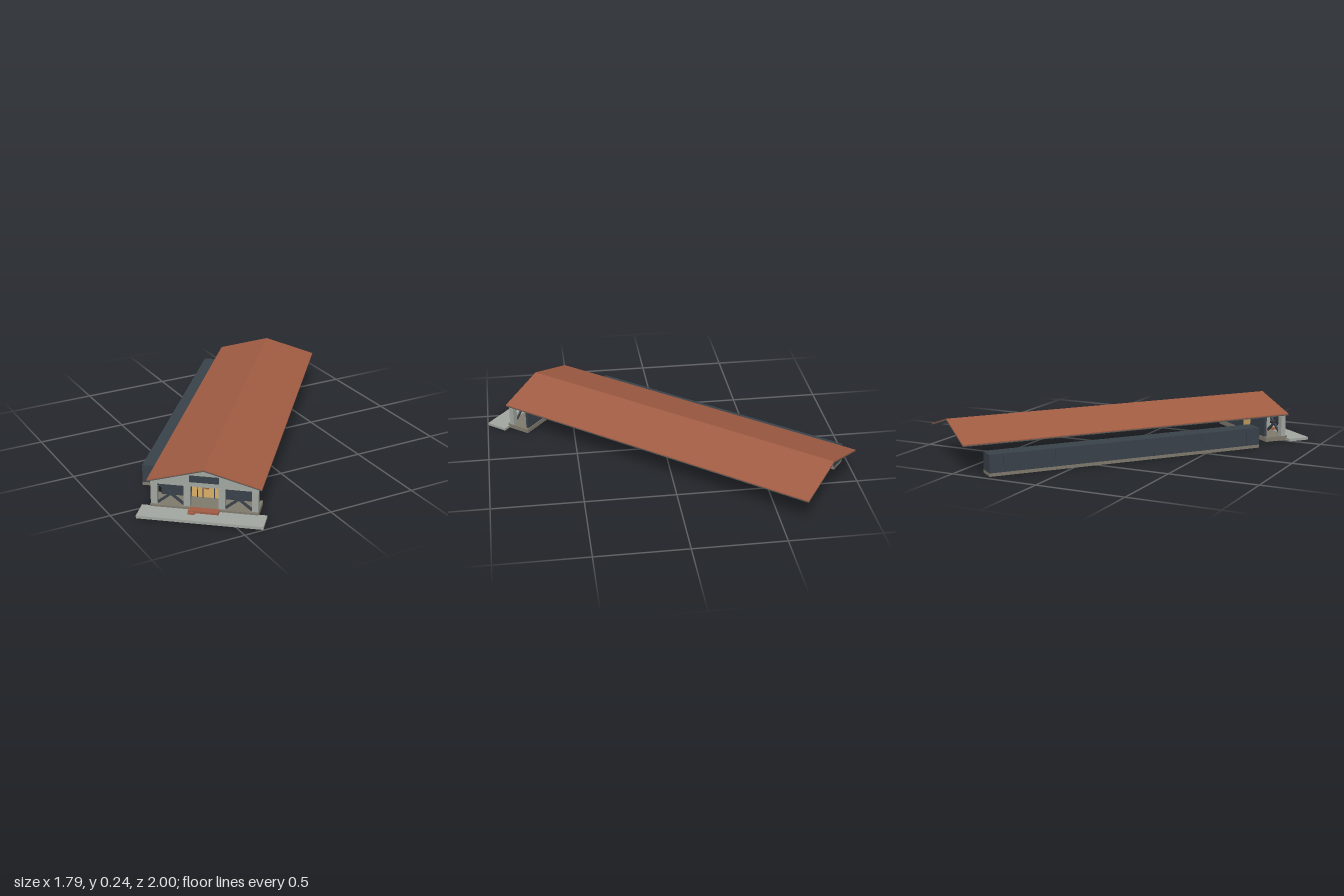
import * as THREE from 'three';

const paint = (name, color) => {
  const m = new THREE.MeshStandardMaterial({ color });
  m.name = name;
  return m;
};

export function createModel() {
  const tile = paint('terracotta', 0xa15c43);
  const lining = paint('roof lining', 0x565a58);
  const concrete = paint('light concrete', 0xa2a7a1);
  const stone = paint('brown stone', 0x7f7a6d);
  const slate = paint('dark slate', 0x39414a);
  const green = paint('bench green', 0x2a5c30);
  const wood = paint('pale wood', 0xdcb068);

  const model = new THREE.Group();
  model.name = 'pavilion';
  // the whole site is turned on its plot
  const site = new THREE.Group();
  site.name = 'site';
  site.rotation.y = -0.684;
  model.add(site);

  // box given by its limits on each axis
  const box = (name, mat, x0, x1, y0, y1, z0, z1, parent = site) => {
    const mesh = new THREE.Mesh(new THREE.BoxGeometry(x1 - x0, y1 - y0, z1 - z0), mat);
    mesh.position.set((x0 + x1) / 2, (y0 + y1) / 2, (z0 + z1) / 2);
    mesh.name = name;
    parent.add(mesh);
    return mesh;
  };
  // outline in x and y, extruded from z0 to z1
  const prism = (name, mat, pts, z0, z1) => {
    const shape = new THREE.Shape(pts.map(([x, y]) => new THREE.Vector2(x, y)));
    const geo = new THREE.ExtrudeGeometry(shape, { depth: z1 - z0, bevelEnabled: false });
    geo.translate(0, 0, z0);
    const mesh = new THREE.Mesh(geo, mat);
    mesh.name = name;
    site.add(mesh);
  };

  // long gabled roof: tiles over a dark lining
  const W = 0.297, rise = 0.082;
  const chevron = (y, t) => [[-W, y], [0, y + rise], [W, y],
    [W, y + t], [0, y + rise + t], [-W, y + t]];
  prism('roofTiles', tile, chevron(0.154, 0.005), -1.047, 0.901);
  prism('roofLining', lining, chevron(0.149, 0.005), -1.047, 0.901);

  // forecourt, floor and entrance steps
  box('forecourt', concrete, -0.325, 0.325, 0, 0.015, 0.898, 1.022);
  box('floor', stone, -0.28, 0.28, 0, 0.025, 0.765, 0.907);
  box('entranceStep', tile, -0.075, 0.082, 0.015, 0.027, 0.9, 0.943);
  box('stepEnd', tile, -0.073, -0.037, 0.015, 0.023, 0.943, 0.962);

  // front gable with its dark panel
  prism('gable', concrete, [[-0.28, 0.138], [0.28, 0.138], [0.28, 0.153], [0, 0.23], [-0.28, 0.153]], 0.872, 0.892);
  box('gablePanel', slate, -0.077, 0.077, 0.165, 0.2, 0.892, 0.898);

  // columns and crossed braces on both sides of the entrance
  for (const s of [-1, 1]) {
    for (const x of [0.262, 0.09])
      box('column', concrete, s * x - 0.017, s * x + 0.017, 0.025, 0.14, 0.866, 0.894);
    const w = 0.136, h = 0.108;
    for (const d of [-1, 1]) {
      const brace = box('brace', slate, -Math.hypot(w, h) / 2, Math.hypot(w, h) / 2, -0.006, 0.006, -0.005, 0.005);
      brace.position.set(s * 0.176, 0.083, 0.88);
      brace.rotation.z = d * Math.atan2(h, w);
    }
  }

  // rear wall panels with a doorway between them
  box('rearPanelRight', slate, 0.09, 0.265, 0.025, 0.145, 0.77, 0.785);
  box('rearPanelLeft', slate, -0.25, -0.088, 0.025, 0.145, 0.77, 0.785);
  box('doorLeft', wood, -0.088, 0, 0.025, 0.128, 0.774, 0.782);
  box('doorRight', wood, 0, 0.09, 0.025, 0.128, 0.776, 0.782);
  box('doorRightBack', slate, 0, 0.09, 0.025, 0.128, 0.77, 0.776);
  for (const x of [-0.06, -0.03, 0.03, 0.06])
    box('doorBar', slate, x - 0.002, x + 0.002, 0.025, 0.128, 0.782, 0.785);
  box('hangingSign', tile, -0.012, 0.012, 0.1, 0.145, 0.82, 0.835);

  // long side shelter, open towards the hall
  const shelter = new THREE.Group();
  shelter.name = 'shelter';
  site.add(shelter);
  const L = -0.385, R = -0.285, B = -0.935, F = 0.657;
  box('shelterBase', stone, L, R, 0, 0.018, B, F, shelter);
  box('shelterBackWall', slate, L, L + 0.008, 0.018, 0.107, B, F, shelter);
  box('shelterRoof', slate, L, R, 0.107, 0.116, B, F, shelter);
  box('shelterEnd', slate, L + 0.008, R, 0.018, 0.107, B, B + 0.008, shelter);
  box('shelterEnd', slate, L + 0.008, R, 0.018, 0.107, F - 0.008, F, shelter);
  box('bench', green, L + 0.008, L + 0.045, 0.032, 0.05, B + 0.008, F - 0.008, shelter);
  // thin ribs on the outside of the back wall
  for (let i = 0; i < 6; i++) {
    const z = B + 0.08 + i * 0.286;
    box('rib', slate, L - 0.003, L, 0.018, 0.116, z - 0.003, z + 0.003, shelter);
  }
  return model;
}
